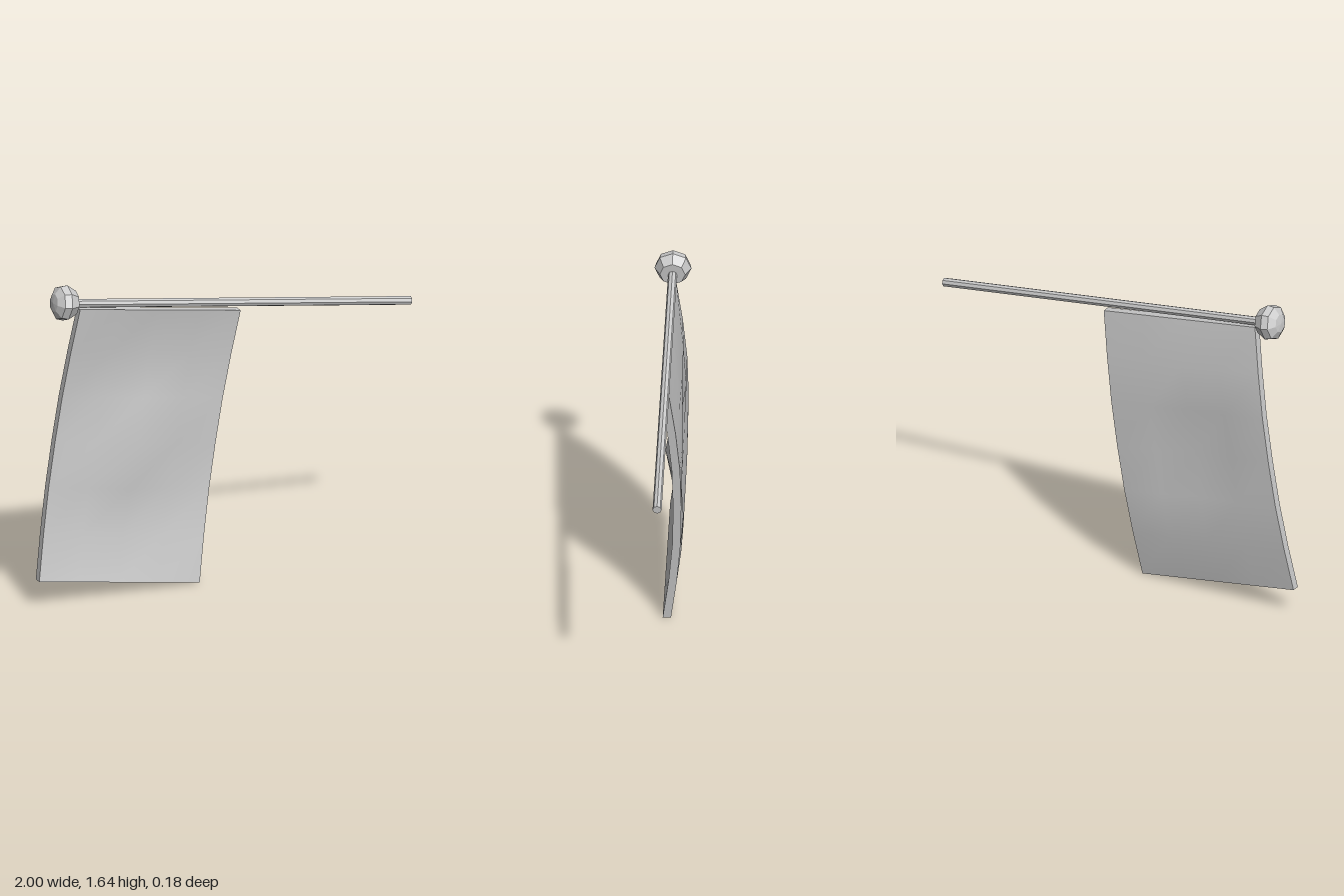
import * as THREE from 'three';

const grey = new THREE.MeshStandardMaterial({ color: 0xcccccc });
const facetedGrey = new THREE.MeshStandardMaterial({ color: 0xcccccc, flatShading: true });

function addMesh(group, name, geometry, material) {
  const mesh = new THREE.Mesh(geometry, material);
  mesh.name = name;
  group.add(mesh);
  return mesh;
}

export function createModel() {
  const model = new THREE.Group();
  model.name = 'flagOnPole';

  // Tilted pole, running from the finial down to the free end
  const poleStart = new THREE.Vector3(-0.83, 1.552, 0);
  const poleEnd = new THREE.Vector3(0.995, 1.285, 0);
  const axis = poleEnd.clone().sub(poleStart);
  const poleTurn = new THREE.Quaternion().setFromUnitVectors(
    new THREE.Vector3(0, 1, 0), axis.clone().normalize());
  const pole = addMesh(model, 'pole',
    new THREE.CylinderGeometry(0.022, 0.022, axis.length(), 8), facetedGrey);
  pole.position.copy(poleStart).add(poleEnd).multiplyScalar(0.5);
  pole.quaternion.copy(poleTurn);

  // Faceted knob at the upper end, turned around the pole axis
  const profile = [[0, -0.06], [0.045, -0.055], [0.083, -0.03], [0.09, 0.005], [0.062, 0.055], [0, 0.055]]
    .map(([r, y]) => new THREE.Vector2(r, y));
  const finial = addMesh(model, 'finial', new THREE.LatheGeometry(profile, 8), facetedGrey);
  finial.position.set(-0.86, 1.559, 0);
  finial.quaternion.copy(poleTurn);

  // Cloth: a thin slab pushed back in soft waves, with top and bottom edges straight.
  // Depth by row, for the side columns, the quarter columns and the middle column
  const waves = [
    [0, -0.03, -0.05, -0.055, -0.05, -0.03, 0],
    [0, -0.042, -0.055, -0.045, -0.055, -0.042, 0],
    [0, -0.045, -0.037, 0, -0.037, -0.045, 0],
  ];
  const width = 0.87, height = 1.395;
  const cloth = new THREE.BoxGeometry(width, height, 0.04, 4, 6, 1);
  const p = cloth.attributes.position;
  for (let i = 0; i < p.count; i++) {
    const column = Math.round((p.getX(i) / width + 0.5) * 4);
    const row = Math.round((0.5 - p.getY(i) / height) * 6);
    p.setZ(i, p.getZ(i) + waves[Math.min(column, 4 - column)][row]);
  }
  cloth.computeVertexNormals();
  const flag = addMesh(model, 'flagCloth', cloth, grey);
  flag.position.set(-0.462, 0.762, 0);
  flag.rotation.z = -0.158;

  return model;
}
